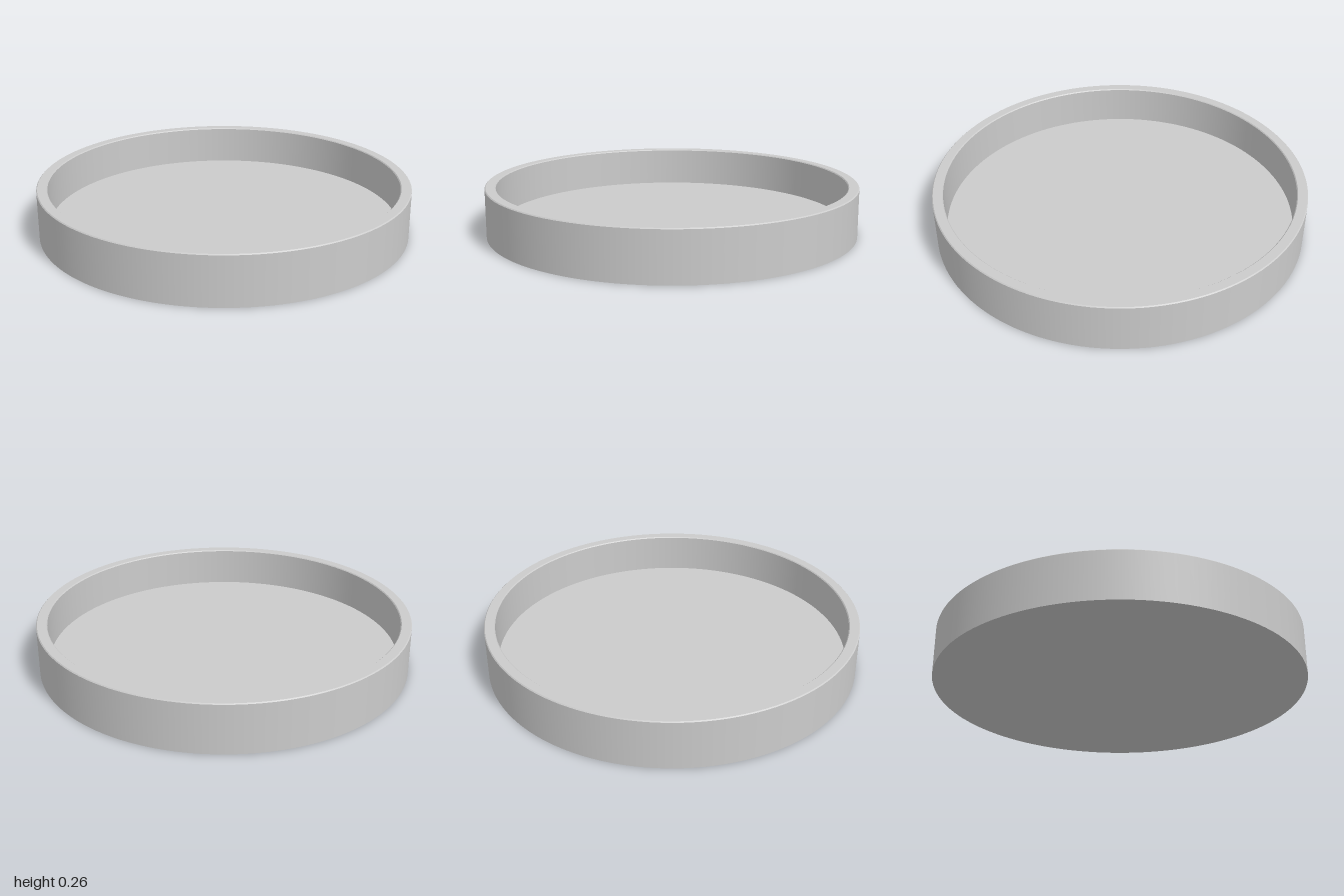
import * as THREE from 'three';
import { mergeGeometries } from 'three/addons/utils/BufferGeometryUtils.js';

const SEGMENTS = 128;
const RADIUS = 1, INNER = 0.942, HEIGHT = 0.265, FLOOR = 0.05, BEVEL = 0.005;

// Lathe each profile segment on its own so the edges stay sharp and the walls smooth
function turned(points) {
  const strips = points.slice(1).map((p, i) =>
    new THREE.LatheGeometry([new THREE.Vector2(...points[i]), new THREE.Vector2(...p)], SEGMENTS));
  return mergeGeometries(strips);
}

export function createModel() {
  const group = new THREE.Group();
  group.name = 'roundTray';
  const material = new THREE.MeshStandardMaterial({ color: 0xcccccc });

  const add = (name, points) => {
    const mesh = new THREE.Mesh(turned(points), material);
    mesh.name = name;
    group.add(mesh);
  };

  // Underside disc
  add('underside', [[0, 0], [RADIUS, 0]]);

  // Upright wall with a flat rim, lightly bevelled on both edges
  add('wall', [
    [RADIUS, 0],
    [RADIUS, HEIGHT - BEVEL],
    [RADIUS - BEVEL, HEIGHT],
    [INNER + BEVEL, HEIGHT],
    [INNER, HEIGHT - BEVEL],
    [INNER, FLOOR],
  ]);

  // Recessed floor
  add('floor', [[INNER, FLOOR], [0, FLOOR]]);

  return group;
}
